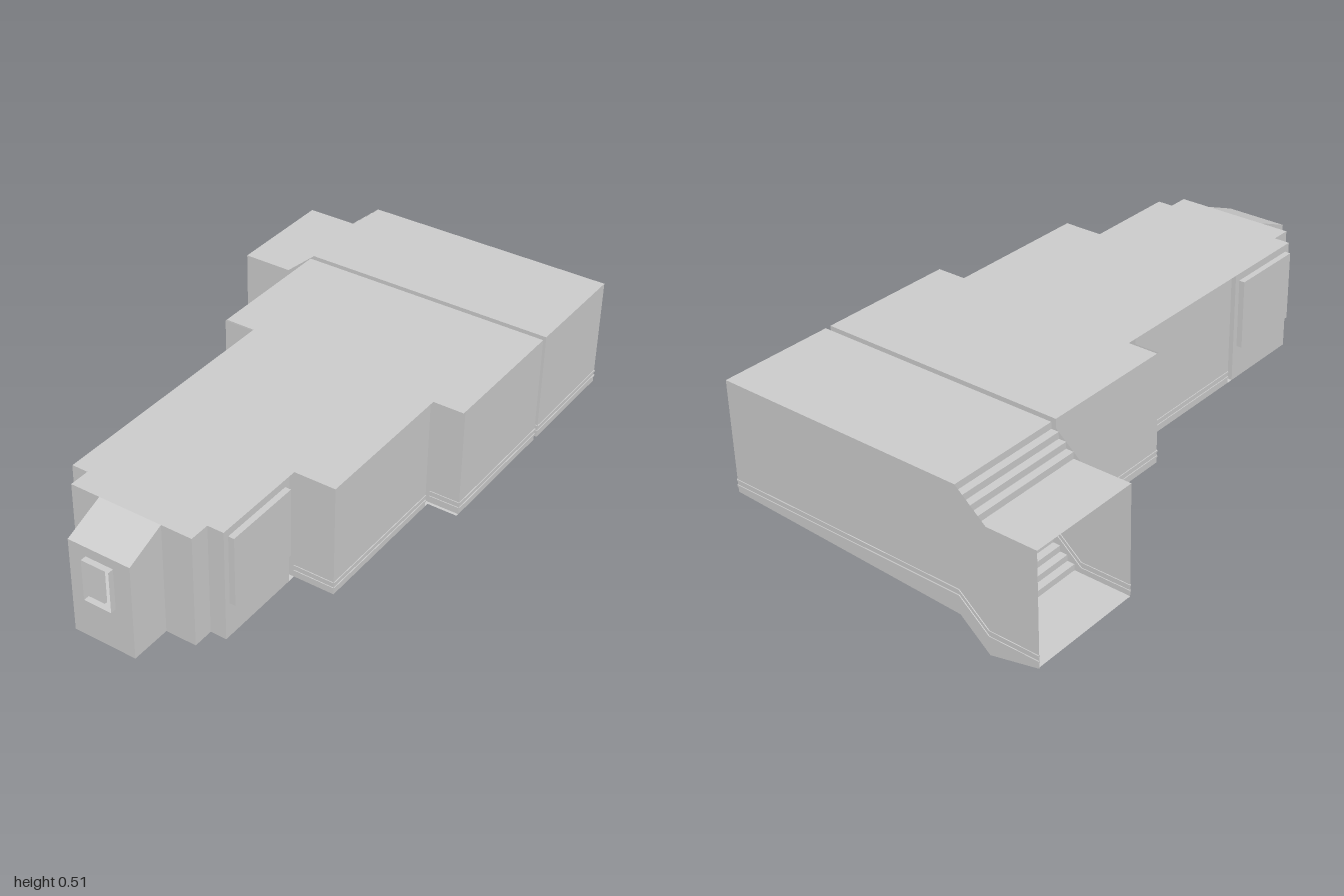
import * as THREE from 'three';

export function createModel() {
  const model = new THREE.Group();
  model.name = 'modularCorridor';
  const grey = new THREE.MeshStandardMaterial({ color: 0xcccccc, side: THREE.DoubleSide });
  grey.name = 'panelGrey';

  const FLOOR = 0.13, ROOF = 0.515;

  const add = (name, geometry, x = 0, y = 0, z = 0) => {
    const mesh = new THREE.Mesh(geometry, grey);
    mesh.name = name;
    mesh.position.set(x, y, z);
    model.add(mesh);
    return mesh;
  };
  const toShape = (points, holes = []) => {
    const shape = new THREE.Shape(points.map(p => new THREE.Vector2(...p)));
    for (const h of holes) shape.holes.push(new THREE.Path(h.map(p => new THREE.Vector2(...p))));
    return shape;
  };
  const rect = (a, b, c, d) => [[a, b], [c, b], [c, d], [a, d]];

  // Flat sheets: facing z from (x, y), facing y from (x, z), facing x from (z, y)
  const sheetZ = (name, pts, z, holes) => add(name, new THREE.ShapeGeometry(toShape(pts, holes)), 0, 0, z);
  const sheetY = (name, pts, y) => add(name, new THREE.ShapeGeometry(toShape(pts)).rotateX(Math.PI / 2), 0, y, 0);
  const sheetX = (name, pts, x) => add(name, new THREE.ShapeGeometry(toShape(pts)).rotateY(-Math.PI / 2), x, 0, 0);
  const box = (name, x0, x1, y0, y1, z0, z1) => add(name, new THREE.BoxGeometry(x1 - x0, y1 - y0, z1 - z0),
    (x0 + x1) / 2, (y0 + y1) / 2, (z0 + z1) / 2);

  // Open-ended rectangular passage running along z
  const passage = (name, x0, x1, y0, y1, z0, z1) => {
    for (const x of [x0, x1]) sheetX(name + 'Side', rect(z0, y0, z1, y1), x);
    for (const y of [y0, y1]) sheetY(name + 'Deck', rect(x0, z0, x1, z1), y);
  };

  // Upright walls following a path of (x, z) points
  const walls = (name, path) => {
    for (let i = 0; i + 1 < path.length; i++) {
      const [x0, z0] = path[i], [x1, z1] = path[i + 1];
      if (x0 === x1) sheetX(name, rect(z0, FLOOR, z1, ROOF), x0);
      else sheetZ(name, rect(x0, FLOOR, x1, ROOF), z0);
    }
  };

  // Rear hall: side walls dip with the stairs, the low end stays open
  const L = -0.585, S0 = -0.41, S1 = -0.305, R = 0.58, BACK = -1, FRONT = -0.6;
  const D0 = 0.08, D1 = 0.195, DOOR_TOP = 0.375;
  const upper = [[R, ROOF], [S1, ROOF], [S0, 0.425], [L, 0.425]];
  const lower = [[L, 0.04], [S0, 0], [S1, 0.09]];
  sheetZ('hallBackWall', [...upper, ...lower, [R, FLOOR]], BACK);
  sheetZ('hallFrontWall', [...upper, ...lower, [D0, FLOOR], [D0, DOOR_TOP], [D1, DOOR_TOP],
    [D1, FLOOR], [R, FLOOR]], FRONT);
  sheetX('hallEndWall', rect(BACK, FLOOR, FRONT, ROOF), R);
  for (const [name, high, low] of [['hallFloor', FLOOR, 0.045], ['hallRoof', ROOF, 0.425]]) {
    sheetY(name, rect(S1, BACK, R, FRONT), high);
    sheetY(name + 'Landing', rect(L, BACK, S0, FRONT), low);
    const steps = 4, run = (S1 - S0) / steps, rise = (high - low) / steps;
    for (let i = 0; i < steps; i++) {
      const x = S1 - i * run, y = high - i * rise;
      sheetX(name + 'Riser', rect(BACK, y - rise, FRONT, y), x);
      sheetY(name + 'Tread', rect(x - run, BACK, x, FRONT), y - rise);
    }
  }

  // Narrow skirting rails along the hall walls, following the stairs
  const T = 0.006;
  const railHeights = [0.15, 0.169];
  for (const y of railHeights) {
    const h = 0.006;
    const line = [[L, y - 0.09], [S0, y - 0.09], [S1, y], [R, y]];
    const band = [...line, ...line.map(([x, v]) => [x, v + h]).reverse()];
    for (const z of [BACK, FRONT]) {
      const pts = z === BACK ? [band] : [
        [...line.slice(0, 3), [D0, y], [D0, y + h], ...line.slice(0, 3).map(([x, v]) => [x, v + h]).reverse()],
        rect(D1, y, R, y + h)];
      for (const p of pts)
        add('hallRail', new THREE.ExtrudeGeometry(toShape(p), { depth: T, bevelEnabled: false }), 0, 0, z - T / 2);
    }
    box('hallEndRail', R - T / 2, R + T / 2, y, y + h, BACK, FRONT);
  }

  // Roof and floor shared by the three forward rooms
  const NOSE0 = -0.043, NOSE1 = 0.175, NOSE_Z = 0.98;
  const leftEdge = [[S1, -0.58], [S1, -0.107], [-0.2, -0.107], [-0.2, 0.77], [-0.145, 0.77], [-0.145, 0.84]];
  const rightEdge = [[0.28, 0.84], [0.28, 0.77], [0.335, 0.77], [0.335, 0.435], [0.475, 0.435],
    [0.475, -0.09], [R, -0.09], [R, -0.58]];
  sheetY('roomRoof', [...leftEdge, ...rightEdge], ROOF);
  sheetY('roomFloor', [...leftEdge, [NOSE0, 0.84], [NOSE0, NOSE_Z], [NOSE1, NOSE_Z], [NOSE1, 0.84], ...rightEdge], FLOOR);

  // Walls of the wide and middle rooms, with doorways in their end walls
  const rooms = [
    { name: 'wideRoom', x0: S1, x1: R, z0: -0.58, z1: -0.1,
      backDoor: rect(D0, FLOOR + 0.001, D1, DOOR_TOP), frontDoor: rect(0, FLOOR + 0.001, 0.28, 0.45) },
    { name: 'middleRoom', x0: -0.2, x1: 0.475, z0: -0.075, z1: 0.435,
      backDoor: rect(0, FLOOR + 0.001, 0.28, 0.45), frontDoor: rect(0, 0.18, 0.13, 0.42) },
  ];
  for (const r of rooms) {
    const face = rect(r.x0, FLOOR, r.x1, ROOF);
    sheetZ(r.name + 'BackWall', face, r.z0, [r.backDoor]);
    sheetZ(r.name + 'FrontWall', face, r.z1, [r.frontDoor]);
    for (const x of [r.x0, r.x1]) sheetX(r.name + 'SideWall', rect(r.z0, FLOOR, r.z1, ROOF), x);
    for (const y of railHeights) {
      for (const x of [r.x0, r.x1]) box(r.name + 'Rail', x - T / 2, x + T / 2, y, y + 0.006, r.z0, r.z1);
    }
  }
  for (const y of railHeights) {
    box('wideRoomFrontRail', S1, -0.2, y, y + 0.006, -0.103, -0.097);
    box('wideRoomFrontRail', 0.475, R, y, y + 0.006, -0.103, -0.097);
    box('middleRoomFrontRail', 0.335, 0.475, y, y + 0.006, 0.432, 0.438);
  }

  // Passages joining the rooms
  passage('rearPassage', D0, D1, FLOOR, DOOR_TOP, -0.6, -0.58);
  passage('middlePassage', 0, 0.28, FLOOR, 0.45, -0.1, -0.075);
  passage('forwardPassage', 0, 0.13, 0.18, 0.42, 0.435, 0.46);

  // Stepped cabin and its side panels
  sheetZ('cabinBackWall', rect(-0.2, FLOOR, 0.335, ROOF), 0.46, [rect(0, 0.18, 0.13, 0.42)]);
  walls('cabinLeftWall', [[0.335, 0.46], [0.335, 0.77], [0.28, 0.77], [0.28, 0.84], [NOSE1, 0.84]]);
  walls('cabinRightWall', [[-0.2, 0.46], [-0.2, 0.77], [-0.145, 0.77], [-0.145, 0.84], [NOSE0, 0.84]]);
  box('sidePanel', 0.335, 0.355, 0.25, 0.49, 0.48, 0.75);
  box('sidePanel', -0.22, -0.2, 0.25, 0.49, 0.48, 0.75);

  // Nose with sloping top and an open window frame
  const SLOPE_Y = 0.458;
  for (const x of [NOSE0, NOSE1])
    sheetX('noseSide', [[0.84, FLOOR], [NOSE_Z, FLOOR], [NOSE_Z, SLOPE_Y], [0.84, ROOF]], x);
  const slope = new THREE.PlaneGeometry(NOSE1 - NOSE0, Math.hypot(NOSE_Z - 0.84, ROOF - SLOPE_Y));
  add('noseSlope', slope, (NOSE0 + NOSE1) / 2, (ROOF + SLOPE_Y) / 2, (NOSE_Z + 0.84) / 2)
    .rotation.x = -Math.atan2(NOSE_Z - 0.84, ROOF - SLOPE_Y);
  sheetZ('noseFront', rect(NOSE0, FLOOR, NOSE1, SLOPE_Y), NOSE_Z, [rect(0.018, 0.282, 0.115, 0.425)]);
  passage('windowFrame', 0.018, 0.115, 0.282, 0.425, NOSE_Z, 1);

  return model;
}
